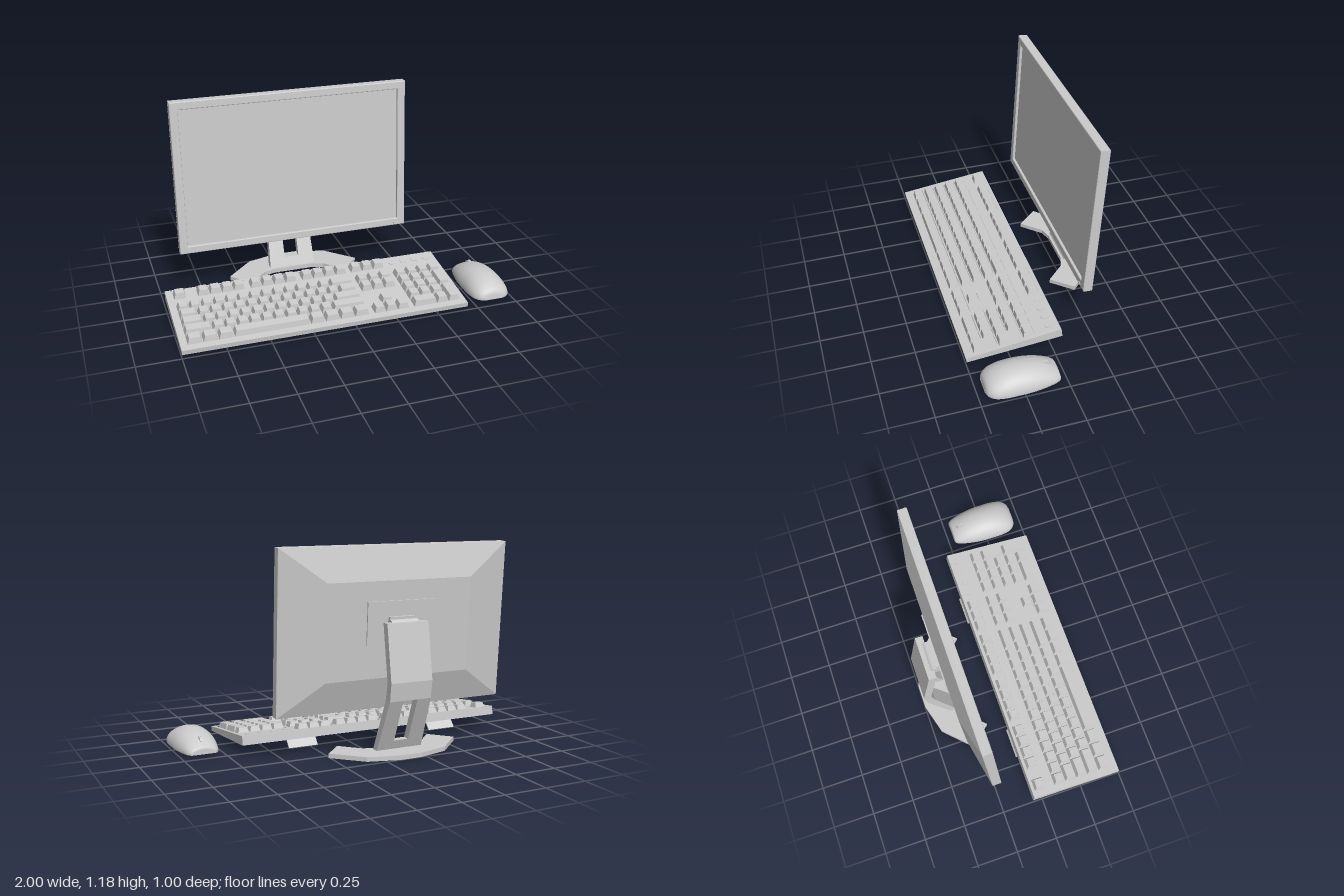
import * as THREE from 'three';
import { ParametricGeometry } from 'three/addons/geometries/ParametricGeometry.js';

const grey = new THREE.MeshStandardMaterial({ color: 0xcccccc });

function add(parent, name, geometry, x = 0, y = 0, z = 0) {
  const mesh = new THREE.Mesh(geometry, grey);
  mesh.name = name;
  mesh.position.set(x, y, z);
  parent.add(mesh);
  return mesh;
}

const group = (parent, name) => {
  const g = new THREE.Group();
  g.name = name;
  parent.add(g);
  return g;
};

const box = (w, h, d) => new THREE.BoxGeometry(w, h, d);
const shapeOf = (pts) => new THREE.Shape(pts.map(([x, y]) => new THREE.Vector2(x, y)));
const rect = (x0, x1, y0, y1) => [[x0, y0], [x1, y0], [x1, y1], [x0, y1]];

// Prism from a [z, y] side profile, running along x
function sidePrism(profile, x0, x1) {
  const g = new THREE.ExtrudeGeometry(shapeOf(profile.map(([z, y]) => [-z, y])), { depth: x1 - x0, bevelEnabled: false });
  return g.rotateY(Math.PI / 2).translate(x0, 0, 0);
}

// Slab from an [x, z] plan, rising in y
function slab(plan, height, holes = []) {
  const flip = (pts) => shapeOf(pts.map(([x, z]) => [x, -z]));
  const shape = flip(plan);
  shape.holes = holes.map(flip);
  return new THREE.ExtrudeGeometry(shape, { depth: height, bevelEnabled: false }).rotateX(-Math.PI / 2);
}

// Box whose +y face shrinks by an inset on x and z
function taperedBox(w, h, d, insetX, insetZ) {
  const g = box(w, h, d);
  const p = g.attributes.position;
  for (let i = 0; i < p.count; i++) {
    if (p.getY(i) > 0) {
      p.setX(i, p.getX(i) - Math.sign(p.getX(i)) * insetX);
      p.setZ(i, p.getZ(i) - Math.sign(p.getZ(i)) * insetZ);
    }
  }
  g.computeVertexNormals();
  return g;
}

function buildMonitor(root) {
  const monitor = group(root, 'monitor');
  monitor.position.set(-0.152, 0.72, -0.25);
  monitor.rotation.x = -0.063;

  // Frame around a recessed screen
  const frame = shapeOf(rect(-0.712, 0.712, -0.46, 0.46));
  frame.holes = [shapeOf(rect(-0.673, 0.673, -0.424, 0.422))];
  const b = 0.005;
  add(monitor, 'bezel', new THREE.ExtrudeGeometry(frame, {
    depth: 0.047, bevelSize: b, bevelThickness: b, bevelSegments: 2,
  }), 0, 0, -0.052);
  add(monitor, 'screen', box(1.36, 0.86, 0.03), 0, 0, -0.031);
  add(monitor, 'powerButton', box(0.025, 0.01, 0.008), 0.655, -0.45, 0);

  // Rear shell slopes in to a flat centre
  add(monitor, 'rearShell', taperedBox(1.434, 0.055, 0.93, 0.265, 0.19).rotateX(-Math.PI / 2), 0, 0, -0.083);
  add(monitor, 'mountPlate', box(0.42, 0.245, 0.02), 0, 0.04, -0.109);
  add(monitor, 'mountBracket', box(0.16, 0.09, 0.02), 0, 0.03, -0.126);
}

function buildStand(root) {
  const stand = group(root, 'stand');
  stand.position.x = -0.152;

  add(stand, 'hinge', new THREE.CylinderGeometry(0.03, 0.03, 0.17, 24).rotateZ(Math.PI / 2), 0, 0.743, -0.397);

  // Bent column, split into two legs around a slot
  const front = (y) => -0.315 - 0.397 * (y - 0.025);
  const back = (y) => -0.36 - 0.413 * (y - 0.025);
  const strip = (y0, y1) => [[front(y0), y0], [front(y1), y1], [back(y1), y1], [back(y0), y0]];
  const upper = [[-0.405, 0.76], [-0.455, 0.44], [-0.455, 0.42], [front(0.33), 0.33],
    [back(0.33), 0.33], [-0.5, 0.435], [-0.45, 0.76]];
  const flare = (g) => {
    const p = g.attributes.position;
    for (let i = 0; i < p.count; i++) {
      const x = p.getX(i);
      if (Math.abs(x) > 0.1) p.setX(i, x + Math.sign(x) * Math.max(0, 0.33 - p.getY(i)) * 0.045);
    }
    g.computeVertexNormals();
    return g;
  };
  add(stand, 'column', sidePrism(upper, -0.13, 0.13));
  for (const [x0, x1] of [[-0.13, -0.045], [0.045, 0.13]]) {
    add(stand, 'leg', flare(sidePrism(strip(0.02, 0.33), x0, x1)));
  }
  add(stand, 'legCrossbar', sidePrism(strip(0.02, 0.08), -0.045, 0.045));

  // Faceted crescent foot
  const half = [[0.07, -0.5], [0.25, -0.45], [0.41, -0.29], [0.3, -0.168], [0.19, -0.28], [0.12, -0.3]];
  const mirrored = half.map(([x, z]) => [-x, z]).reverse();
  add(stand, 'foot', slab([...half, ...mirrored], 0.026));
}

function buildKeyboard(root) {
  const keyboard = group(root, 'keyboard');
  keyboard.position.set(0, 0.084, 0.2225);
  keyboard.rotation.x = 0.1255;
  const localZ = (z) => (z - 0.2225) * 1.008;

  // Wedge body, with a top plate cut out around each key cluster
  add(keyboard, 'caseBody', sidePrism([[0.28, -0.028], [0.28, -0.01], [-0.28, -0.01], [-0.28, -0.053]], -1, 0.682));
  const wells = [
    [-0.966, -0.88, -0.044, 0.04], [-0.828, -0.53, -0.044, 0.04], [-0.513, -0.213, -0.044, 0.04],
    [-0.198, 0.096, -0.044, 0.04], [0.114, 0.341, -0.044, 0.04], [-0.966, 0.096, 0.083, 0.456],
    [0.114, 0.341, 0.083, 0.24], [0.186, 0.269, 0.299, 0.374], [0.114, 0.341, 0.376, 0.456],
    [0.359, 0.661, 0.083, 0.456],
  ];
  const holes = wells.map(([x0, x1, z0, z1]) => rect(x0, x1, localZ(z0), localZ(z1)));
  add(keyboard, 'topPlate', slab(rect(-1, 0.682, -0.28, 0.28), 0.01, holes), 0, -0.01, 0);

  const key = (x, z, w, d = 0.0715) => add(keyboard, 'key',
    taperedBox(w - 0.005, 0.036, d - 0.004, 0.0095, 0.009), x + w / 2, 0.009, localZ(z));
  const run = (x, z, widths, unit) => {
    for (const w of widths) {
      key(x, z, w * unit);
      x += w * unit;
    }
  };
  const ones = (n) => Array(n).fill(1);
  const rowZ = [0.124, 0.196, 0.268, 0.34, 0.415];

  // Separate top row
  run(-0.96, -0.002, [1], 0.075);
  for (const x of [-0.821, -0.506, -0.191]) run(x, -0.002, ones(4), 0.071);
  run(0.12, -0.002, ones(3), 0.0717);

  // Main block
  const rows = [
    [...ones(13), 2],
    [1.5, ...ones(12), 1.5],
    [1.75, ...ones(11), 2.25],
    [2.25, ...ones(10), 2.75],
    [1.25, 1.25, 1.25, 6.25, 1.25, 1.25, 1.25, 1.25],
  ];
  rows.forEach((widths, i) => run(-0.96, rowZ[i], widths, 0.07));

  // Navigation and arrow keys
  for (const i of [0, 1, 4]) run(0.12, rowZ[i], ones(3), 0.0717);
  key(0.1917, rowZ[3], 0.0717);

  // Number pad with two tall keys
  const u = 0.0725;
  run(0.365, rowZ[0], ones(4), u);
  for (const i of [1, 2, 3]) run(0.365, rowZ[i], ones(3), u);
  run(0.365, rowZ[4], [2, 1], u);
  key(0.365 + 3 * u, 0.232, u, 0.143);
  key(0.365 + 3 * u, 0.378, u, 0.146);

  // Indicator lights
  for (let i = 0; i < 4; i++) {
    add(keyboard, 'indicatorLight', new THREE.CylinderGeometry(0.022, 0.022, 0.004, 20), 0.395 + i * 0.075, 0.001, localZ(0));
  }

  // Folding feet under the rear edge
  for (const x of [-0.617, 0.313]) {
    add(root, 'keyboardFoot', box(0.18, 0.068, 0.008), x, 0.041, -0.042).rotation.x = 0.733;
  }
}

function buildMouse(root) {
  const mouse = group(root, 'mouse');
  mouse.position.set(0.875, 0.02, 0);

  // Stations: z, half width, height
  const stations = [
    [0.036, 0.06, 0], [0.04, 0.075, 0.033], [0.06, 0.09, 0.05], [0.12, 0.107, 0.08], [0.2, 0.12, 0.1],
    [0.28, 0.123, 0.105], [0.36, 0.122, 0.093], [0.42, 0.108, 0.068], [0.45, 0.08, 0.04], [0.46, 0.045, 0],
  ];
  const curve = new THREE.CatmullRomCurve3(stations.map((s) => new THREE.Vector3(...s)));
  add(mouse, 'mouseShell', new ParametricGeometry((t, v, target) => {
    const s = curve.getPoint(t);
    const a = Math.PI * (1 - v);
    target.set(s.y * Math.cos(a), Math.max(0, s.z) * Math.sin(a), s.x);
  }, 40, 28));

  const side = curve.getPoints(30).map((s) => [s.y, s.x]);
  const outline = [...side, ...side.map(([x, z]) => [-x, z]).reverse()];
  add(mouse, 'mouseBase', slab(outline, 0.006), 0, -0.004, 0);
  add(mouse, 'scrollWheel', new THREE.CylinderGeometry(0.032, 0.032, 0.018, 24).rotateZ(Math.PI / 2), 0, 0.05, 0.105);
}

export function createModel() {
  const model = new THREE.Group();
  model.name = 'desktopSet';
  buildMonitor(model);
  buildStand(model);
  buildKeyboard(model);
  buildMouse(model);
  return model;
}
